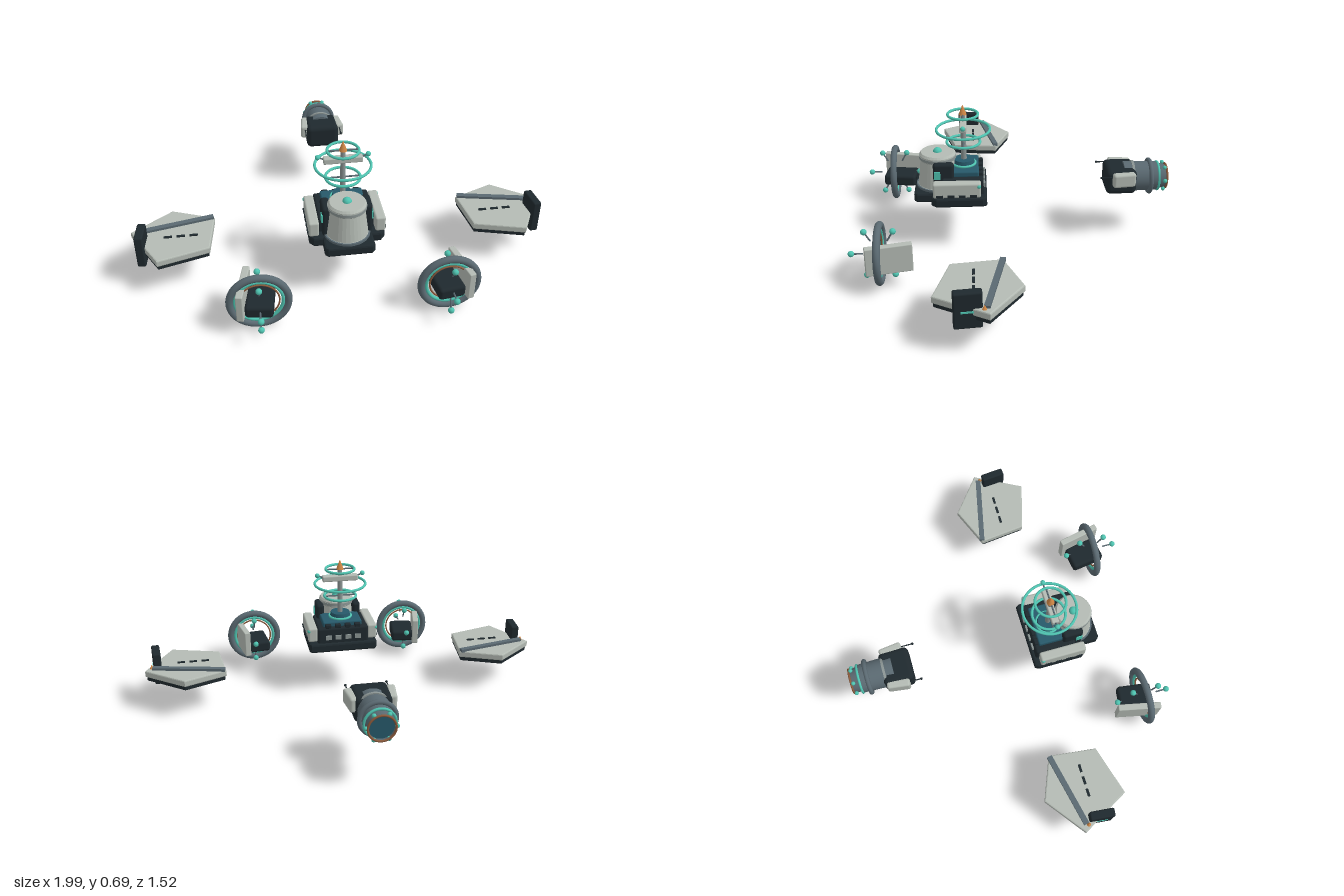
import * as THREE from 'three';
import { RoundedBoxGeometry } from 'three/addons/geometries/RoundedBoxGeometry.js';

const mat = (color, opts = {}) => new THREE.MeshStandardMaterial({ color, ...opts });
const PALE = mat(0xb4bbb4), DARK = mat(0x1f292e), STEEL = mat(0x5a6971), GREY = mat(0x8a9493);
const TEAL = mat(0x4fc3b0), DEEP = mat(0x27596a), ORANGE = mat(0xcf8645), BROWN = mat(0x8a5a3c);

function add(parent, name, geometry, material, x = 0, y = 0, z = 0, rx = 0, ry = 0, rz = 0) {
  const m = new THREE.Mesh(geometry, material);
  m.name = name;
  m.position.set(x, y, z);
  m.rotation.set(rx, ry, rz);
  parent.add(m);
  return m;
}
function group(parent, name, x = 0, y = 0, z = 0, ry = 0) {
  const g = new THREE.Group();
  g.name = name;
  g.position.set(x, y, z);
  g.rotation.y = ry;
  parent.add(g);
  return g;
}
const box = (w, h, d) => new THREE.BoxGeometry(w, h, d);
const round = (w, h, d, r = 0.012) => new RoundedBoxGeometry(w, h, d, 3, r);
const cyl = (rt, rb, h, n = 32) => new THREE.CylinderGeometry(rt, rb, h, n);
const ball = (r) => new THREE.SphereGeometry(r, 16, 12);
const ring = (R, r) => new THREE.TorusGeometry(R, r, 12, 56);

// Horizontal slab from [x, z] points, with its underside at y = 0
function slab(points, height, bevel) {
  const shape = new THREE.Shape(points.map(([x, z]) => new THREE.Vector2(x, -z)));
  const g = new THREE.ExtrudeGeometry(shape, {
    depth: height - 2 * bevel, bevelSize: bevel, bevelThickness: bevel, bevelOffset: -bevel, bevelSegments: 2,
  });
  return g.translate(0, 0, bevel).rotateX(-Math.PI / 2);
}

// Command unit: base, turret cabin, deck, side pods and mast
function command(root) {
  const g = group(root, 'commandUnit');
  const outline = [[-0.165, 0.13], [0.165, 0.13], [0.175, 0.15], [0.175, 0.37], [0.155, 0.395], [0.115, 0.395],
    [0.115, 0.465], [0.1, 0.48], [-0.1, 0.48], [-0.115, 0.465], [-0.115, 0.395], [-0.155, 0.395], [-0.175, 0.37], [-0.175, 0.15]];
  add(g, 'base', slab(outline, 0.047, 0.01), DARK, 0, 0.238, 0);
  add(g, 'rearBody', round(0.26, 0.09, 0.2), DARK, 0, 0.32, 0.245);
  add(g, 'deck', round(0.2, 0.03, 0.13, 0.008), DEEP, 0, 0.375, 0.232);

  const profile = [[0, 0.27], [0.104, 0.27], [0.104, 0.292], [0.098, 0.297], [0.083, 0.42], [0.088, 0.425], [0.088, 0.448], [0.08, 0.458], [0, 0.458]];
  const smoothless = new THREE.LatheGeometry(profile.map(([r, y]) => new THREE.Vector2(r, y)), 32).toNonIndexed();
  smoothless.computeVertexNormals();
  add(g, 'cabin', smoothless, PALE, 0, 0, 0.365);
  add(g, 'cabinRim', cyl(0.09, 0.09, 0.014), GREY, 0, 0.435, 0.365);
  add(g, 'cabinCollar', cyl(0.107, 0.107, 0.012), STEEL, 0, 0.29, 0.365);
  add(g, 'roofLamp', ball(0.022), TEAL, 0, 0.455, 0.365);
  for (const s of [-1, 1]) {
    add(g, 'cabinPost', round(0.04, 0.155, 0.1, 0.014), DARK, s * 0.095, 0.36, 0.335);
    add(g, 'sideWindow', box(0.008, 0.04, 0.03), TEAL, s * 0.115, 0.38, 0.365);
    add(g, 'sidePod', round(0.048, 0.075, 0.228, 0.01), PALE, s * 0.153, 0.326, 0.272);
    add(g, 'podLamp', ball(0.011), TEAL, s * 0.17, 0.347, 0.168);
    for (let i = 0; i < 4; i++) add(g, 'podVent', box(0.012, 0.012, 0.032), DARK, s * 0.176, 0.3, 0.195 + i * 0.053);
  }
  for (let i = 0; i < 4; i++) {
    add(g, 'rearVent', box(0.03, 0.022, 0.012), GREY, -0.075 + i * 0.05, 0.315, 0.143);
    add(g, 'deckBlock', round(0.03, 0.02, 0.025, 0.005), DARK, -0.075 + i * 0.05, 0.371, 0.16);
  }

  // Mast with hoops, cross bar and tip
  const m = group(g, 'mast', 0, 0, 0.238);
  add(m, 'mastFoot', cyl(0.048, 0.055, 0.035), DEEP, 0, 0.4, 0);
  add(m, 'footHoop', ring(0.055, 0.006), TEAL, 0, 0.395, 0, Math.PI / 2);
  add(m, 'mastPole', cyl(0.011, 0.014, 0.26, 16), GREY, 0, 0.53, 0);
  for (const [y, r] of [[0.505, 0.08], [0.57, 0.128], [0.647, 0.072]]) {
    add(m, 'hoop', ring(r, 0.0065), TEAL, 0, y, 0, Math.PI / 2);
  }
  add(m, 'hoopSpoke', cyl(0.004, 0.004, 0.16, 8), STEEL, 0, 0.505, 0, 0, 0, Math.PI / 2);
  add(m, 'topSpoke', cyl(0.004, 0.004, 0.144, 8), STEEL, 0, 0.647, 0, 0, 0, Math.PI / 2);
  add(m, 'crossBar', round(0.18, 0.03, 0.034, 0.006), PALE, 0, 0.6, 0);
  for (const s of [-1, 1]) {
    add(m, 'barRod', cyl(0.004, 0.004, 0.04, 8), STEEL, s * 0.1, 0.612, 0, 0, 0, -s * 1.1);
    add(m, 'barTip', ball(0.012), TEAL, s * 0.115, 0.618, 0);
  }
  add(m, 'mastTip', new THREE.ConeGeometry(0.019, 0.05, 16), ORANGE, 0, 0.671, 0);
}

// Rear engine, pointing to -z
function engine(root) {
  const g = group(root, 'engine', 0, 0.303, 0);
  const X = Math.PI / 2;
  add(g, 'engineBlock', round(0.17, 0.125, 0.15, 0.025), DARK, 0, 0, -0.528);
  add(g, 'barrel', cyl(0.075, 0.07, 0.17), STEEL, 0, 0, -0.63, X);
  add(g, 'barrelBand', cyl(0.079, 0.079, 0.012), GREY, 0, 0, -0.59, X);
  add(g, 'barrelHoop', ring(0.079, 0.011), STEEL, 0, 0, -0.675);
  add(g, 'nozzleHoop', ring(0.069, 0.006), TEAL, 0, 0, -0.715);
  add(g, 'nozzle', new THREE.CylinderGeometry(0.066, 0.056, 0.05, 32, 1, true), mat(0x5a6971, { side: THREE.DoubleSide }), 0, 0, -0.73, X);
  add(g, 'nozzleGlow', cyl(0.057, 0.057, 0.02), DEEP, 0, 0, -0.731, X);
  add(g, 'exhaustRing', ring(0.06, 0.005), BROWN, 0, 0, -0.756);
  for (let i = 0; i < 6; i++) {
    const a = i * Math.PI / 3;
    add(g, 'exhaustBead', ball(0.01), TEAL, 0.066 * Math.cos(a), 0.066 * Math.sin(a), -0.745);
  }
  for (const s of [-1, 1]) {
    add(g, 'enginePod', round(0.04, 0.07, 0.112, 0.012), PALE, s * 0.09, 0.022, -0.537, 0, s * 0.13);
    add(g, 'probe', cyl(0.003, 0.003, 0.06, 8), DARK, s * 0.093, 0.037, -0.452, X);
    add(g, 'probeTip', ball(0.006), DARK, s * 0.093, 0.037, -0.425);
  }
}

// Ring pod: big hoop, six beads in the side plane, plate and tray
function ringPod(root, s) {
  const g = group(root, s > 0 ? 'leftRingPod' : 'rightRingPod', s * 0.425, 0.15, 0.62);
  add(g, 'outerRing', ring(0.129, 0.017), STEEL);
  add(g, 'glowRing', ring(0.106, 0.008), TEAL);
  add(g, 'innerRing', ring(0.09, 0.004), BROWN);
  for (let i = 0; i < 6; i++) {
    const a = i * Math.PI / 3, y = Math.sin(a), z = Math.cos(a);
    add(g, 'rod', cyl(0.004, 0.004, 0.055, 8), STEEL, 0, y * 0.102, z * 0.102, Math.PI / 2 - a);
    add(g, 'bead', ball(0.0145), TEAL, 0, y * 0.129, z * 0.129);
  }
  add(g, 'plate', round(0.032, 0.138, 0.212, 0.005), PALE, s * 0.066, 0.01, -0.047, 0, s * 0.21);
  add(g, 'tray', round(0.125, 0.06, 0.17, 0.015), DARK, -s * 0.006, -0.026, -0.033, 0, s * 0.14);
}

// Floating wing: pale top, dark keel, rib, slots and tip fin
function wing(root, s) {
  const g = group(root, s > 0 ? 'leftWing' : 'rightWing');
  const pts = [[0.6, 0.07], [0.803, -0.013], [0.995, 0.133], [0.867, 0.368], [0.627, 0.3]];
  const [cx, cz] = [0.79, 0.175];
  const outline = (k) => pts.map(([x, z]) => [s * (cx + (x - cx) * k), cz + (z - cz) * k]);
  add(g, 'wingTop', slab(outline(1), 0.034, 0.006), PALE, 0, 0.181, 0);
  add(g, 'wingKeel', slab(outline(0.96), 0.024, 0.004), DARK, 0, 0.16, 0);
  add(g, 'rib', box(0.36, 0.016, 0.026), STEEL, s * 0.782, 0.219, 0.108, 0, -s * 0.21);
  for (let i = 0; i < 3; i++) add(g, 'slot', box(0.038, 0.008, 0.012), DARK, s * (0.7 + i * 0.06), 0.216, 0.197);
  const f = group(g, 'tipFin', s * 0.94, 0.203, 0.222, s * 0.1);
  add(f, 'fin', round(0.04, 0.166, 0.118, 0.008), DARK);
  add(f, 'finLight', box(0.006, 0.008, 0.06), TEAL, s * 0.02, -0.003, 0);
  add(g, 'wingBeacon', new THREE.ConeGeometry(0.013, 0.026, 12), ORANGE, s * 0.962, 0.222, 0.155);
}

export function createModel() {
  const root = new THREE.Group();
  root.name = 'modularCraft';
  command(root);
  engine(root);
  for (const s of [-1, 1]) {
    ringPod(root, s);
    wing(root, s);
  }
  return root;
}
